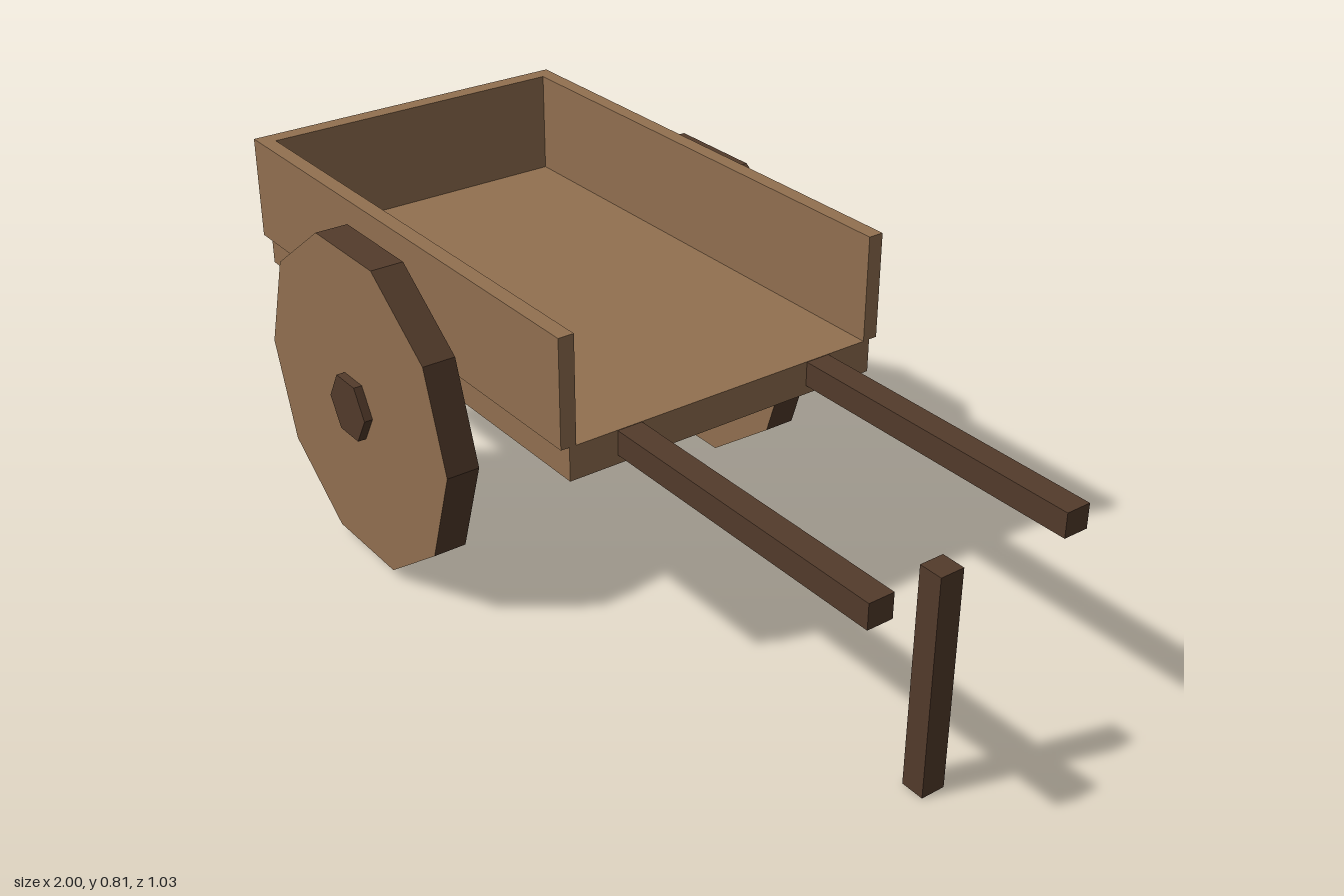
import * as THREE from 'three';

export function createModel() {
  const material = (name, color) => {
    const m = new THREE.MeshStandardMaterial({ color, side: THREE.DoubleSide });
    m.name = name;
    return m;
  };
  const plank = material('light wood', 0x927050);
  const beam = material('dark wood', 0x533b2b);

  const cart = new THREE.Group();
  cart.name = 'handcart';

  const add = (name, geometry, mat) => {
    const mesh = new THREE.Mesh(geometry, mat);
    mesh.name = name;
    cart.add(mesh);
    return mesh;
  };

  // Removes one face group, leaving the geometry open there
  const openFace = (g, face) => {
    const { start, count } = g.groups[face];
    g.setIndex([...g.index.array].filter((_, i) => i < start || i >= start + count));
    g.clearGroups();
    return g;
  };

  // Box without an underside, given by its min and max on each axis
  const box = (name, mat, [x0, x1], [y0, y1], [z0, z1]) =>
    add(name, openFace(new THREE.BoxGeometry(x1 - x0, y1 - y0, z1 - z0), 3), mat)
      .position.set((x0 + x1) / 2, (y0 + y1) / 2, (z0 + z1) / 2);

  // Disc facing +z, with a corner on the x axis
  const disc = (radius, depth, sides) =>
    new THREE.CylinderGeometry(radius, radius, depth, sides, 1, false, Math.PI / 2)
      .rotateX(Math.PI / 2);

  const faceted = (g) => {
    const flat = g.toNonIndexed();
    flat.computeVertexNormals();
    return flat;
  };

  // Tray, open at the handle end, over a hollow base
  box('floor', plank, [-1, 0.265], [0.49, 0.567], [-0.388, 0.388]);
  box('backWall', plank, [-1, -0.96], [0.567, 0.81], [-0.372, 0.372]);

  for (const [side, s] of [['left', 1], ['right', -1]]) {
    const span = (a, b) => (s > 0 ? [a, b] : [-b, -a]);
    box(side + 'Wall', plank, [-1, 0.265], [0.567, 0.81], span(0.372, 0.408));
    box(side + 'Handle', beam, [0.265, 1], [0.51, 0.566], span(0.214, 0.273));

    // Ten-sided wheel: rim, light front face, dark back face
    add(side + 'Wheel', faceted(disc(0.389, 0.077, 10)), [beam, plank, beam])
      .position.set(-0.416, 0.392, s * 0.4585);
    // Hub, hollow at the back
    add(side + 'Hub', faceted(openFace(disc(0.077, 0.117, 6), 2)), beam)
      .position.set(-0.416, 0.391, s * 0.4585);
  }

  // Prop leg between the handles
  box('propLeg', beam, [0.902, 0.957], [0, 0.508], [0, 0.057]);

  return cart;
}
